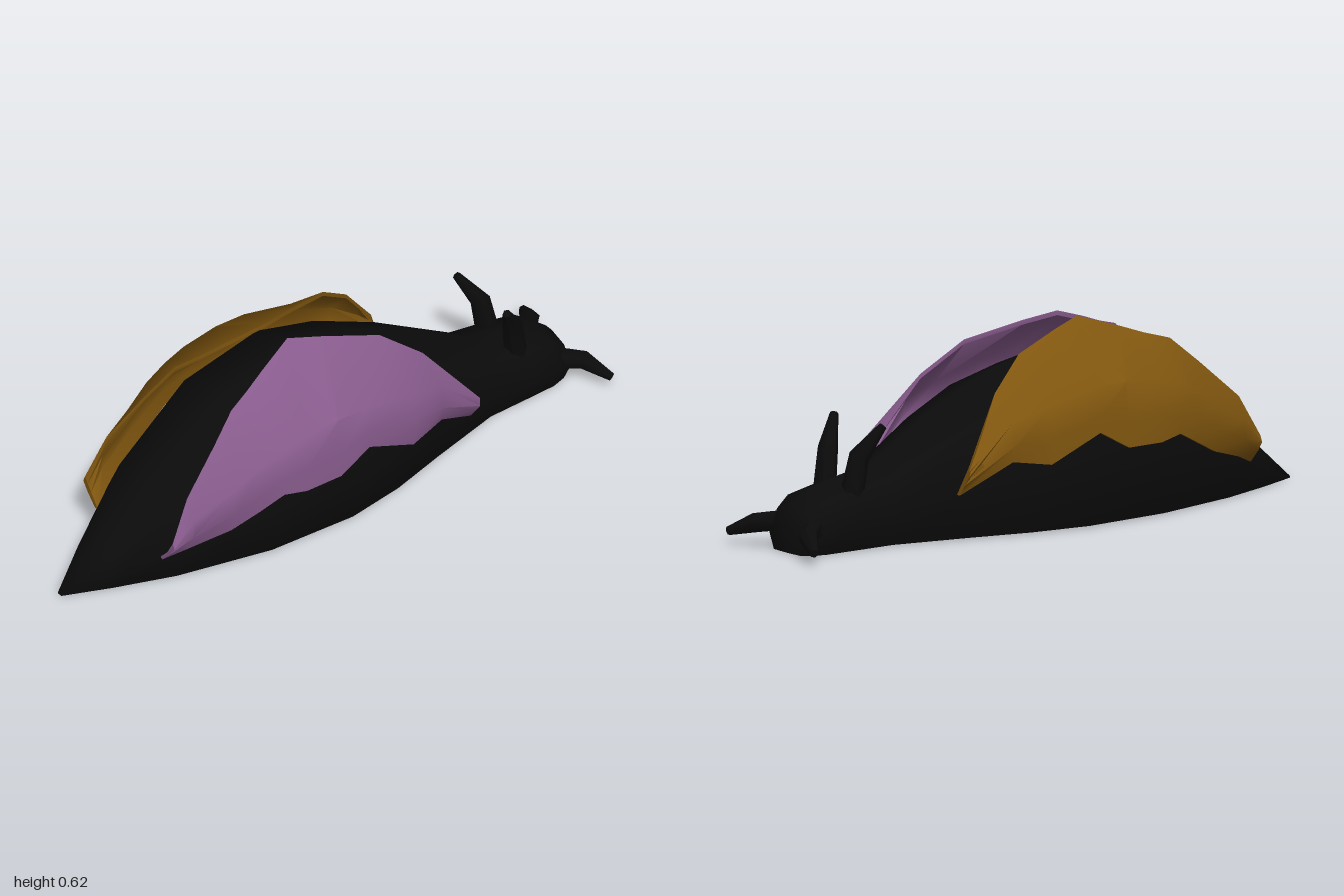
import * as THREE from 'three';
import { toCreasedNormals } from 'three/addons/utils/BufferGeometryUtils.js';

const V = (x, y, z) => new THREE.Vector3(x, y, z);

// Skin a list of equal-sized closed rings, with a cap at each end
function loft(rings, crease) {
  const n = rings[0].length, index = [];
  for (let i = 0; i < rings.length - 1; i++) {
    for (let j = 0; j < n; j++) {
      const a = i * n + j, b = i * n + (j + 1) % n;
      index.push(a, b, a + n, b, b + n, a + n);
    }
  }
  const last = (rings.length - 1) * n;
  for (let j = 1; j < n - 1; j++) {
    index.push(0, j + 1, j, last, last + j, last + j + 1);
  }
  const geo = new THREE.BufferGeometry().setFromPoints(rings.flat());
  geo.setIndex(index);
  return toCreasedNormals(geo, crease);
}

// Mirror rings across x = 0, keeping the faces outward
const mirror = (rings) => rings.map((r) => r.map((p) => V(-p.x, p.y, p.z)).reverse());

// Tapered feeler along a path: stops are [x, y, z, radius]
function feelerRings(stops, sides = 6) {
  const pts = stops.map(([x, y, z]) => V(x, y, z));
  return stops.map(([, , , r], i) => {
    const d = pts[Math.min(i + 1, pts.length - 1)].clone().sub(pts[Math.max(i - 1, 0)]).normalize();
    const u = d.clone().cross(V(0.2, 0.3, 1)).normalize();
    const v = d.clone().cross(u);
    return Array.from({ length: sides }, (_, k) => {
      const a = (k / sides) * Math.PI * 2;
      return pts[i].clone().addScaledVector(u, r * Math.cos(a)).addScaledVector(v, r * Math.sin(a));
    });
  });
}

export function createModel() {
  const black = new THREE.MeshStandardMaterial({ color: 0x0b0b0b });
  black.name = 'black';
  const purple = new THREE.MeshStandardMaterial({ color: 0x875b8c, side: THREE.DoubleSide });
  purple.name = 'purple';
  const ochre = new THREE.MeshStandardMaterial({ color: 0x80560f, side: THREE.DoubleSide });
  ochre.name = 'ochre';

  const model = new THREE.Group();
  model.name = 'seaSlug';
  const add = (name, rings, material, crease) => {
    const mesh = new THREE.Mesh(loft(rings, crease), material);
    mesh.name = name;
    model.add(mesh);
  };

  // Body: one flat-bottomed section scaled along z, as [z, half width, height]
  const section = [[0, 0], [0.75, 0.01], [1, 0.42], [0.68, 0.83], [0, 1],
    [-0.68, 0.83], [-1, 0.42], [-0.75, 0.01]];
  const stations = [
    [-0.925, 0.09, 0.12], [-0.9, 0.122, 0.15], [-0.85, 0.141, 0.19], [-0.76, 0.143, 0.213],
    [-0.6, 0.145, 0.245], [-0.35, 0.225, 0.395], [-0.15, 0.295, 0.48], [0.05, 0.333, 0.528],
    [0.35, 0.305, 0.48], [0.66, 0.2, 0.315], [0.85, 0.1, 0.14], [1, 0.01, 0.008],
  ];
  add('body', stations.map(([z, w, h]) => section.map(([x, y]) => V(x * w, y * h, z))), black, 1.1);

  // Side flaps: per station z, then x, y of hem, side, shoulder and top edge
  const flap = [
    [-0.43, 0.225, 0.155, 0.25, 0.19, 0.272, 0.22, 0.27, 0.25],
    [-0.27, 0.285, 0.25, 0.295, 0.3, 0.28, 0.37, 0.19, 0.45],
    [-0.14, 0.31, 0.23, 0.314, 0.31, 0.3, 0.41, 0.14, 0.55],
    [0.04, 0.32, 0.31, 0.318, 0.36, 0.305, 0.45, 0.085, 0.597],
    [0.15, 0.32, 0.25, 0.317, 0.33, 0.305, 0.455, 0.05, 0.62],
    [0.28, 0.315, 0.25, 0.312, 0.33, 0.3, 0.44, 0.09, 0.58],
    [0.36, 0.303, 0.265, 0.303, 0.32, 0.292, 0.42, 0.115, 0.552],
    [0.44, 0.283, 0.225, 0.29, 0.29, 0.28, 0.39, 0.14, 0.53],
    [0.53, 0.255, 0.18, 0.272, 0.25, 0.265, 0.33, 0.168, 0.45],
    [0.66, 0.205, 0.14, 0.235, 0.2, 0.235, 0.26, 0.2, 0.33],
    [0.73, 0.168, 0.11, 0.205, 0.15, 0.226, 0.18, 0.218, 0.2],
  ];
  const thick = 0.015;
  const flapRings = flap.map(([z, ...c]) => {
    const outer = [0, 2, 4, 6].map((i) => V(c[i], c[i + 1], z));
    const inner = outer.map((p, i) => V(p.x - (i === 3 ? 0 : thick), p.y - (i > 1 ? thick : 0), z));
    return [...outer, ...inner.reverse()];
  });
  add('leftFlap', flapRings, purple, 0.9);
  add('rightFlap', mirror(flapRings), ochre, 0.9);

  // Upper horns and mouth feelers, in mirrored pairs
  const horn = feelerRings([[0.07, 0.17, -0.728, 0.037], [0.08, 0.29, -0.708, 0.032],
    [0.125, 0.385, -0.65, 0.013]]);
  const feeler = feelerRings([[0.075, 0.085, -0.87, 0.035], [0.135, 0.075, -0.945, 0.032],
    [0.22, 0.04, -0.986, 0.014]]);
  for (const [name, rings] of [['Horn', horn], ['Feeler', feeler]]) {
    add('left' + name, rings, black, 1.1);
    add('right' + name, mirror(rings), black, 1.1);
  }
  return model;
}
